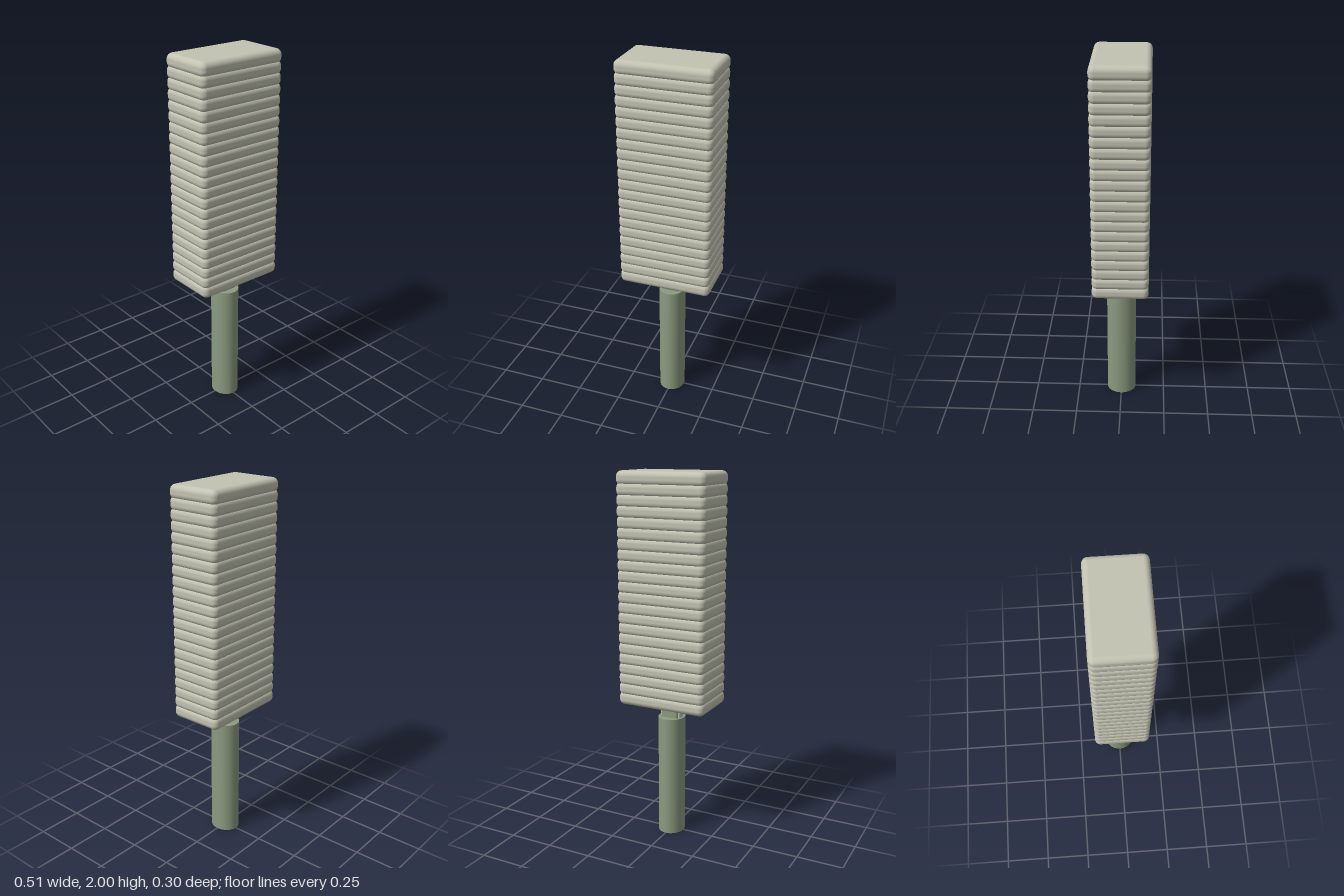
import * as THREE from 'three';
import { RoundedBoxGeometry } from 'three/addons/geometries/RoundedBoxGeometry.js';

export function createModel() {
  const model = new THREE.Group();
  model.name = 'ribbedPaddle';

  const stone = new THREE.MeshStandardMaterial({ name: 'pale stone', color: 0xc2c3b2 });
  const green = new THREE.MeshStandardMaterial({ name: 'sage green', color: 0x8c9b80 });

  const add = (name, geometry, material, y, parent = model) => {
    const mesh = new THREE.Mesh(geometry, material);
    mesh.name = name;
    mesh.position.y = y;
    parent.add(mesh);
    return mesh;
  };

  // Head: a stack of overlapping rounded slabs
  const head = new THREE.Group();
  head.name = 'head';
  model.add(head);
  const count = 22, ribHeight = 0.075, bottom = 0.75;
  const pitch = (2 - bottom - ribHeight) / (count - 1);
  const rib = new RoundedBoxGeometry(0.51, ribHeight, 0.302, 4, 0.03);
  for (let i = 0; i < count; i++) {
    add(`rib${i + 1}`, rib, stone, bottom + ribHeight / 2 + i * pitch, head);
  }

  // Neck: green core with a pale tang showing at both sides
  add('neckCore', new RoundedBoxGeometry(0.1, 0.14, 0.08, 3, 0.012), green, 0.72);
  add('neckTang', new RoundedBoxGeometry(0.118, 0.14, 0.05, 3, 0.008), stone, 0.72);

  // Handle: oval grip, slightly deeper than wide
  const grip = new THREE.CylinderGeometry(1, 1, 0.68, 48);
  grip.scale(0.0725, 1, 0.082);
  add('handle', grip, green, 0.34);

  return model;
}
